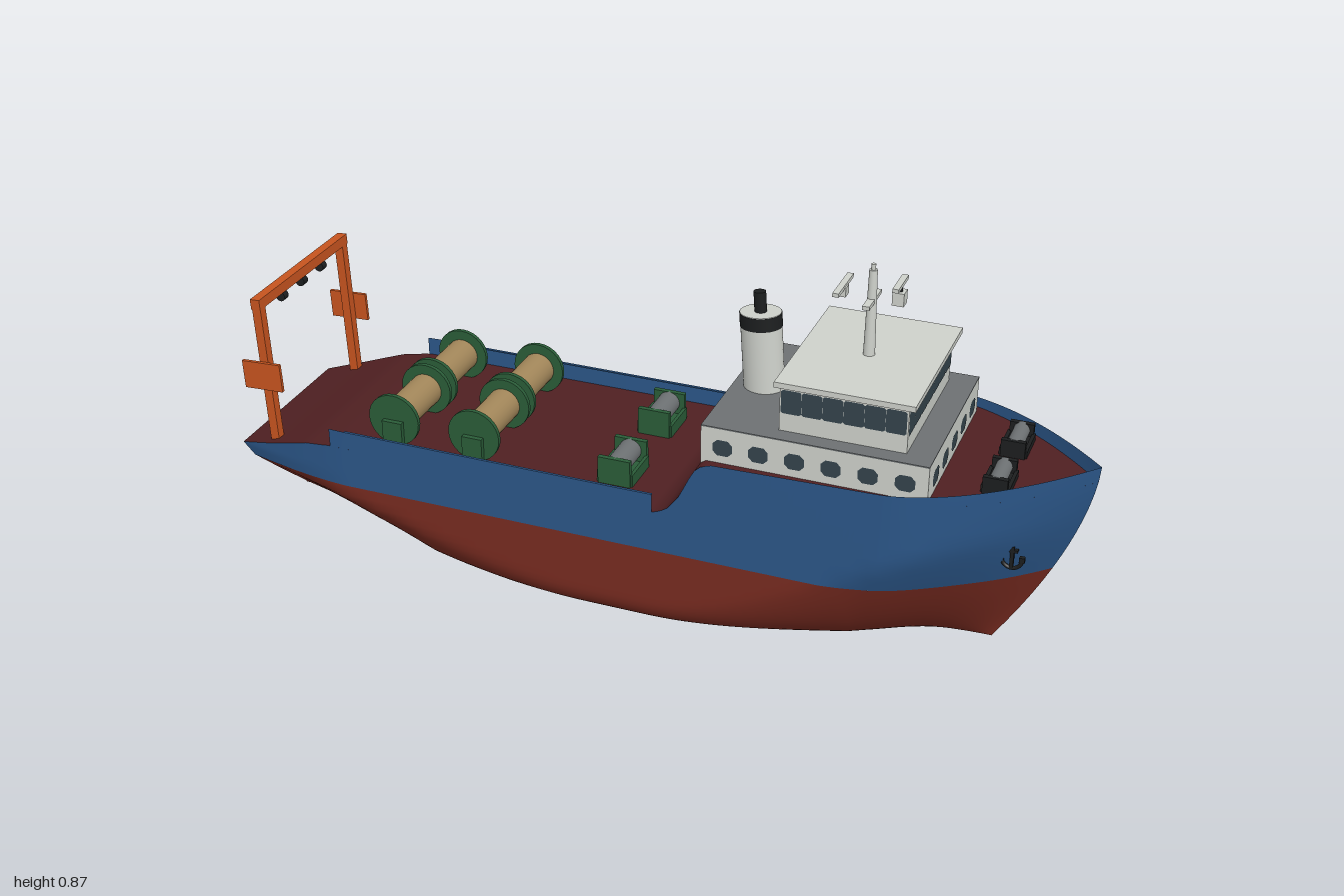
import * as THREE from 'three';

const mat = (name, color, double) => {
  const m = new THREE.MeshStandardMaterial({ color });
  m.name = name;
  if (double) m.side = THREE.DoubleSide;
  return m;
};
const lerp = THREE.MathUtils.lerp, smooth = THREE.MathUtils.smoothstep;

// Sheer line: top edge of the hull plating along x
const SHEER = [[-1, .24], [-.9, .268], [-.8, .299], [-.73, .31], [.08, .31], [.11, .325], [.14, .365],
  [.16, .41], [.18, .445], [.21, .457], [.6, .466], [1, .482]];
function sheer(x) {
  for (let i = 1; i < SHEER.length; i++) {
    const [x0, y0] = SHEER[i - 1], [x1, y1] = SHEER[i];
    if (x <= x1) return lerp(y0, y1, (x - x0) / (x1 - x0));
  }
  return .482;
}
const WATER = .21;

// Half breadth at the deck
function beam(x) {
  if (x < -.7) return .254 - .05 * Math.pow((-.7 - x) / .3, 1.5);
  if (x > .58) return .254 * (1 - Math.pow(Math.min(1, (x - .58) / .42), 1.8));
  return .254;
}

// Point on the hull side: station X (position at deck level) and height y
function hullPoint(X, y) {
  const stern = -.77 - .23 * Math.min(1, y / .24);
  const stem = .8 + .2 * (1 - Math.pow(Math.max(0, 1 - y / .482), 1.6));
  let x = X;
  if (X < -.5) x = -.5 + (X + .5) / .5 * (-.5 - stern);
  if (X > .5) x = .5 + (X - .5) / .5 * (stem - .5);
  // Full round bilge amidships, finer V sections towards the ends
  const s = smooth(X, -1, -.1) * (1 - smooth(X, .05, .85));
  const B = beam(X), b = B * .72 * s;
  const h = X < 0 ? lerp(.21, .07, s) : lerp(.34, .07, s);
  const k = Math.min(1, y / h), round = Math.sqrt(1 - (1 - k) ** 2);
  const fine = lerp(k, round, X < 0 ? .25 : .5);
  return [x, y, lerp(b, B, lerp(fine, round, s))];
}

// Surface from a rule f(u, v), u and v from 0 to 1
function grid(f, nu, nv, flip = false) {
  const pos = [], idx = [];
  for (let j = 0; j <= nv; j++) for (let i = 0; i <= nu; i++) pos.push(...f(i / nu, j / nv));
  for (let j = 0; j < nv; j++) for (let i = 0; i < nu; i++) {
    const a = j * (nu + 1) + i, b = a + 1, c = b + nu + 1, d = c - 1;
    if (flip) idx.push(a, c, b, a, d, c); else idx.push(a, b, c, a, c, d);
  }
  const g = new THREE.BufferGeometry();
  g.setAttribute('position', new THREE.Float32BufferAttribute(pos, 3));
  g.setIndex(idx);
  g.computeVertexNormals();
  return g;
}

export function createModel() {
  const M = {
    blue: mat('hull blue', 0x2b5688, true), red: mat('antifouling red', 0x782b20),
    deck: mat('deck maroon', 0x502022), light: mat('light grey', 0xced1cb),
    grey: mat('mid grey', 0x6d7173), glass: mat('window glass', 0x34434b),
    orange: mat('orange', 0xc7541f), green: mat('winch green', 0x2a5c38),
    tan: mat('rope tan', 0xa3875a), black: mat('black', 0x1c1e1f),
  };
  const ship = new THREE.Group();
  ship.name = 'workShip';
  const add = (name, geo, m, x = 0, y = 0, z = 0, parent = ship) => {
    const mesh = new THREE.Mesh(geo, m);
    mesh.name = name;
    mesh.position.set(x, y, z);
    parent.add(mesh);
    return mesh;
  };
  // Box given by its limits
  const box = (name, m, x0, x1, y0, y1, z0, z1, parent) => add(name,
    new THREE.BoxGeometry(x1 - x0, y1 - y0, z1 - z0), m, (x0 + x1) / 2, (y0 + y1) / 2, (z0 + z1) / 2, parent);
  const cyl = (name, m, r0, r1, len, x, y, z, axis = 'y', parent = ship) => {
    const g = new THREE.CylinderGeometry(r1, r0, len, 28);
    if (axis === 'z') g.rotateX(Math.PI / 2);
    return add(name, g, m, x, y, z, parent);
  };

  // Hull sides, bottom and bulwarks
  for (const s of [1, -1]) {
    const side = (X, y) => { const [x, yy, z] = hullPoint(X, y); return [x, yy, z * s]; };
    const flip = s < 0;
    add('lowerHull', grid((u, v) => {
      const X = u * 2 - 1;
      if (v === 0) return [hullPoint(X, 0)[0], 0, 0];
      return side(X, WATER * ((v * 17 - 1) / 16) ** 2);
    }, 100, 17, flip), M.red);
    add('upperHull', grid((u, v) => side(u * 2 - 1, lerp(WATER, sheer(u * 2 - 1), v)), 160, 8, flip), M.blue);
    add('bulwark', grid((u, v) => {
      const X = lerp(-.73, .075, u), p = side(X, sheer(X));
      return [X, lerp(.305, .355, v), p[2]];
    }, 30, 1, flip), M.blue);
    box('bulwarkCap', M.blue, -.69, .075, .352, .355, s * .252 - .003, s * .252 + .003);
  }
  // Transom
  const transom = (y0, y1) => grid((u, v) => {
    const p = hullPoint(-1, lerp(y0, y1, v));
    return [p[0], p[1], p[2] * (u * 2 - 1)];
  }, 10, 10);
  add('lowerTransom', transom(0, WATER), M.red);
  add('upperTransom', transom(WATER, .24), M.blue);
  // Deck with the slope up to the sunken foredeck
  add('deck', grid((u, v) => {
    const X = u * 2 - 1, p = hullPoint(X, Math.min(sheer(X), .445));
    return [p[0], p[1], p[2] * (1 - 2 * v)];
  }, 160, 2), M.deck);
  box('rudder', M.red, -.96, -.86, .03, .21, -.01, .01);

  // Flat window with cut corners, facing +z before turning
  const pane = (w, h, c, x, y, z, ry) => {
    const a = w / 2, b = h / 2, sh = new THREE.Shape();
    [[-a + c, -b], [a - c, -b], [a, -b + c], [a, b - c], [a - c, b], [-a + c, b], [-a, b - c], [-a, -b + c]]
      .forEach(([px, py], i) => (i ? sh.lineTo(px, py) : sh.moveTo(px, py)));
    add('window', new THREE.ShapeGeometry(sh), M.glass, x, y, z).rotation.y = ry;
  };
  const row = (n, w, h, c, y, x0, x1, zHalf) => {   // windows on both long sides
    for (let i = 0; i < n; i++) {
      const x = lerp(x0, x1, i / (n - 1));
      pane(w, h, c, x, y, zHalf + .0015, 0);
      pane(w, h, c, x, y, -zHalf - .0015, Math.PI);
    }
  };
  const ends = (n, w, h, c, y, xa, xf, zSpan) => {  // windows on the aft and forward walls
    for (let i = 0; i < n; i++) {
      const z = lerp(-zSpan, zSpan, i / (n - 1));
      pane(w, h, c, xf + .0015, y, z, Math.PI / 2);
      pane(w, h, c, xa - .0015, y, z, -Math.PI / 2);
    }
  };

  // Deckhouse
  box('lowerHouse', M.light, .175, .68, .43, .528, -.217, .217);
  box('houseDeck', M.grey, .175, .68, .528, .531, -.217, .217);
  row(6, .044, .038, .01, .483, .225, .63, .217);
  ends(5, .05, .038, .01, .481, .175, .68, .16);

  // Wheelhouse with an almost continuous window band
  box('wheelhouse', M.light, .338, .62, .53, .643, -.178, .178);
  box('roof', M.light, .33, .638, .642, .655, -.198, .198);
  row(6, .0455, .056, .004, .602, .364, .594, .178);
  ends(7, .0505, .064, .004, .602, .338, .62, .152);

  // Funnel, oval and leaning aft, with a black band
  const funnel = new THREE.Group();
  funnel.name = 'funnel';
  funnel.position.set(.245, .53, 0);
  funnel.rotation.z = .07;
  funnel.scale.z = .85;
  ship.add(funnel);
  cyl('funnelBody', M.light, .047, .047, .184, 0, .092, 0, 'y', funnel);
  cyl('funnelBand', M.black, .048, .048, .032, 0, .1665, 0, 'y', funnel);
  cyl('exhaust', M.black, .014, .014, .05, 0, .207, 0, 'y', funnel);

  // Mast with scanners
  cyl('mast', M.light, .013, .009, .2, .48, .755, 0);
  cyl('mastTop', M.light, .005, .005, .02, .48, .858, 0);
  box('crossTree', M.light, .472, .488, .78, .789, -.048, .048);
  box('aftScannerBase', M.light, .405, .425, .785, .806, -.012, .012);
  box('aftScanner', M.light, .408, .422, .803, .812, -.056, .056);
  box('foreScannerBase', M.light, .527, .553, .785, .815, -.014, .014);
  cyl('foreScannerPost', M.black, .006, .006, .014, .54, .82, 0);
  box('foreScanner', M.light, .533, .547, .827, .836, -.04, .04);

  // Stern gantry
  const gantry = new THREE.Group();
  gantry.name = 'sternGantry';
  gantry.position.set(-.91, .255, 0);
  gantry.rotation.z = .045;
  ship.add(gantry);
  box('gantryBeam', M.orange, -.012, .012, .35, .375, -.205, .205, gantry);
  for (const s of [1, -1]) {
    box('gantryPost', M.orange, -.011, .011, 0, .36, s * .192 - .011, s * .192 + .011, gantry);
    box('gantryPlate', M.orange, -.055, .045, .145, .215, s * .207 - .004, s * .207 + .004, gantry);
  }
  for (const z of [-.09, 0, .09]) cyl('gantryBlock', M.black, .012, .012, .018, 0, .337, z, 'z', gantry);

  for (const s of [1, -1]) {
    // Rope reels
    for (const x of [-.595, -.39]) {
      cyl('reelDrum', M.tan, .04, .04, .16, x, .37, s * .098, 'z');
      for (const z of [.016, .18]) {
        cyl('reelFlange', M.green, .064, .064, .01, x, .37, s * z, 'z');
      }
      box('reelStand', M.green, x - .025, x + .025, .31, .37, s * .19 - .007, s * .19 + .007);
    }
    // Deck winches and bow windlasses
    const winch = (name, m, x, y, z, hx, hz, h) => {
      box(name + 'Base', m, x - hx, x + hx, y, y + .012, z - hz, z + hz);
      for (const e of [-1, 1]) {
        box(name + 'Cheek', m, x - hx, x + hx, y, y + h, z + e * hz - .006, z + e * hz + .006);
        box(name + 'Rail', m, x + e * hx - .004, x + e * hx + .004, y, y + h * .45, z - hz, z + hz);
      }
      cyl(name + 'Drum', M.grey, hx * .68, hx * .68, hz * 2, x, y + h * .6, z, 'z');
    };
    winch('deckWinch', M.green, -.046, .31, s * .122, .039, .05, .066);
    winch('windlass', M.black, .802, .443, s * .085, .027, .044, .042);

    // Bow anchors, standing fore and aft against the plating
    const p = hullPoint(.885, .285);
    const anchor = new THREE.Group();
    anchor.name = 'anchor';
    anchor.position.set(p[0], p[1], s * (p[2] + .008));
    ship.add(anchor);
    box('shank', M.black, -.004, .004, -.025, .03, -.005, .005, anchor);
    box('stock', M.black, -.012, .012, .016, .022, -.005, .005, anchor);
    const arms = add('arms', new THREE.TorusGeometry(.022, .0045, 8, 16, Math.PI), M.black, 0, -.003, 0, anchor);
    arms.rotation.z = Math.PI;
    for (const e of [-1, 1]) box('fluke', M.black, e * .022 - .006, e * .022 + .006, -.006, .006, -.005, .005, anchor);
  }
  return ship;
}
